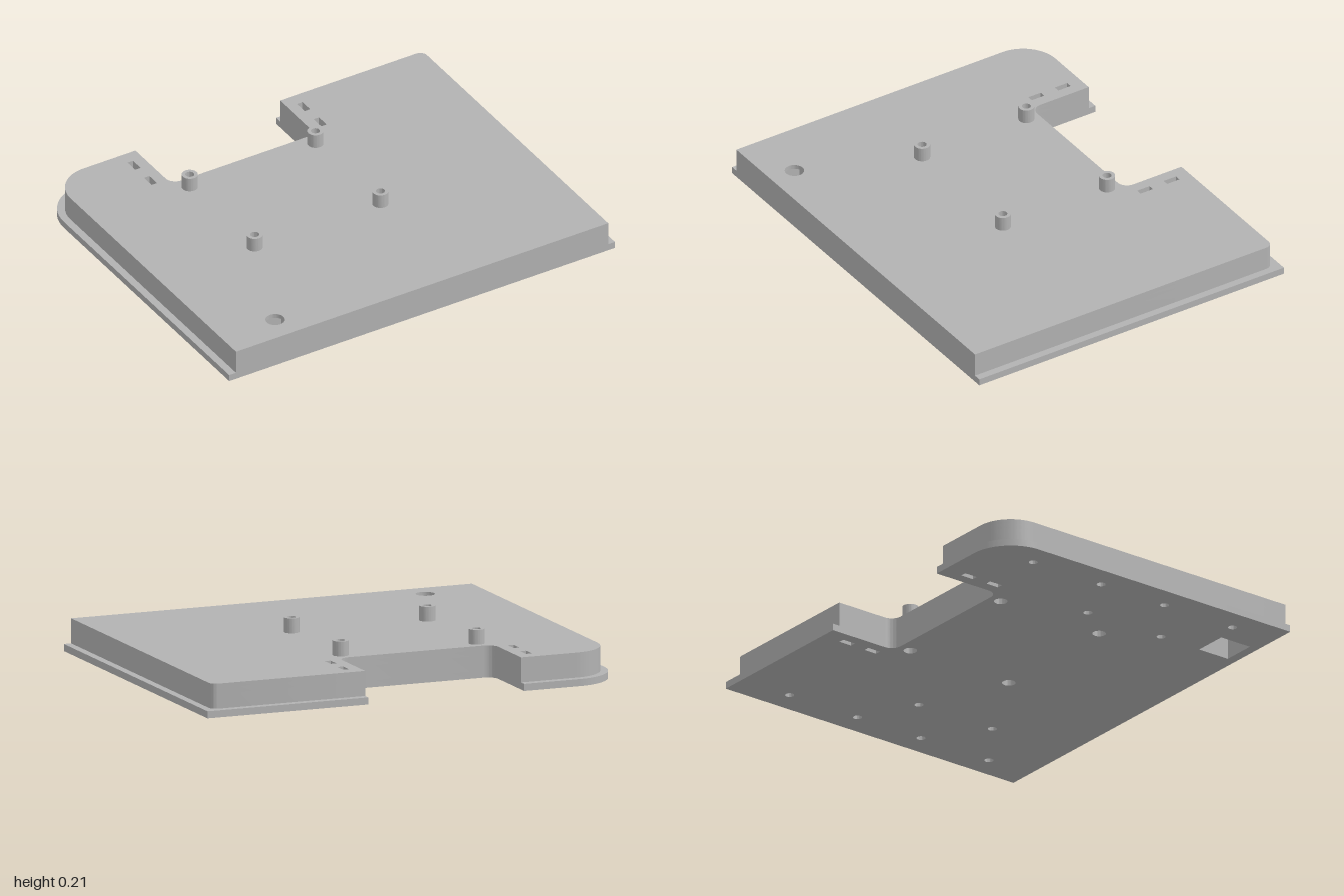
import * as THREE from 'three';
import { toCreasedNormals } from 'three/addons/utils/BufferGeometryUtils.js';

// Plan coordinates are (x, z); shapes are drawn with y = -z and laid flat.
const FRONT = 0.805;
const standoffs = [-0.468, 0.185].flatMap(x => [-0.403, 0.148].map(z => [x, z]));
const screws = [-0.88, 0.88].flatMap(x => [-0.54, -0.16, 0.195, 0.575].map(z => [x, z]))
  .concat([-0.61, 0.61].flatMap(x => [-0.025, 0.385].map(z => [x, z])));
const slots = [-0.59, 0.29].flatMap(x => [-0.675, -0.535].map(z => [x, z]));
const button = [-0.687, 0.68];

const circle = r => ([x, z]) => new THREE.Path().absarc(x, -z, r, 0, Math.PI * 2, true);
const rect = (w, d) => ([x, z]) => new THREE.Path([
  [-w, -d], [-w, d], [w, d], [w, -d], [-w, -d],
].map(([a, b]) => new THREE.Vector2(x + a / 2, -z + b / 2)));

// Plate outline: rounded back corner, notch in the back, straight front
function outline(side, back, bigR, smallR) {
  const s = new THREE.Shape();
  const nl = -0.525, nr = 0.225, nz = 0.465, r = 0.05;
  s.moveTo(-side, -FRONT);
  s.lineTo(side, -FRONT);
  if (smallR) s.absarc(side - smallR, back - smallR, smallR, 0, Math.PI / 2, false);
  else s.lineTo(side, back);
  s.lineTo(nr, back);
  s.absarc(nr - r, nz + r, r, 0, -Math.PI / 2, true);
  s.absarc(nl + r, nz + r, r, -Math.PI / 2, -Math.PI, true);
  s.lineTo(nl, back);
  s.absarc(-side + bigR, back - bigR, bigR, Math.PI / 2, Math.PI, false);
  s.closePath();
  return s;
}

function slab(name, shape, holes, y0, y1, material) {
  shape.holes = holes;
  let g = new THREE.ExtrudeGeometry(shape, { depth: y1 - y0, bevelEnabled: false, curveSegments: 20 });
  g.rotateX(-Math.PI / 2);
  g.translate(0, y0, 0);
  g = toCreasedNormals(g, 0.5);
  const mesh = new THREE.Mesh(g, material);
  mesh.name = name;
  return mesh;
}

export function createModel() {
  const model = new THREE.Group();
  model.name = 'mountingPlate';
  const grey = new THREE.MeshStandardMaterial({ color: 0xb2b2b2 });
  grey.name = 'plainGrey';

  const flange = () => outline(1, FRONT, 0.205, 0);
  const body = () => outline(0.965, 0.77, 0.17, 0.035);

  // Openings grouped by how far up they reach
  const slotHoles = () => slots.map(rect(0.028, 0.065));
  const pocket = () => [rect(0.16, 0.16)(button)];
  const lowHoles = () => [
    ...slotHoles(), ...pocket(),
    ...screws.map(circle(0.02)), ...standoffs.map(circle(0.03)),
  ];
  const bores = () => standoffs.map(circle(0.02));

  model.add(
    slab('flange', flange(), lowHoles(), 0, 0.032, grey),
    slab('lowerBody', body(), lowHoles(), 0.032, 0.1, grey),
    slab('middleBody', body(), [...slotHoles(), ...pocket(), ...bores()], 0.1, 0.125, grey),
    slab('topPlate', body(), [...slotHoles(), circle(0.043)(button), ...bores()], 0.125, 0.145, grey),
  );

  // Hollow standoffs
  for (const p of standoffs) {
    const ring = new THREE.Shape().absarc(p[0], -p[1], 0.036, 0, Math.PI * 2, false);
    model.add(slab('standoff', ring, [circle(0.02)(p)], 0.145, 0.212, grey));
  }
  return model;
}
